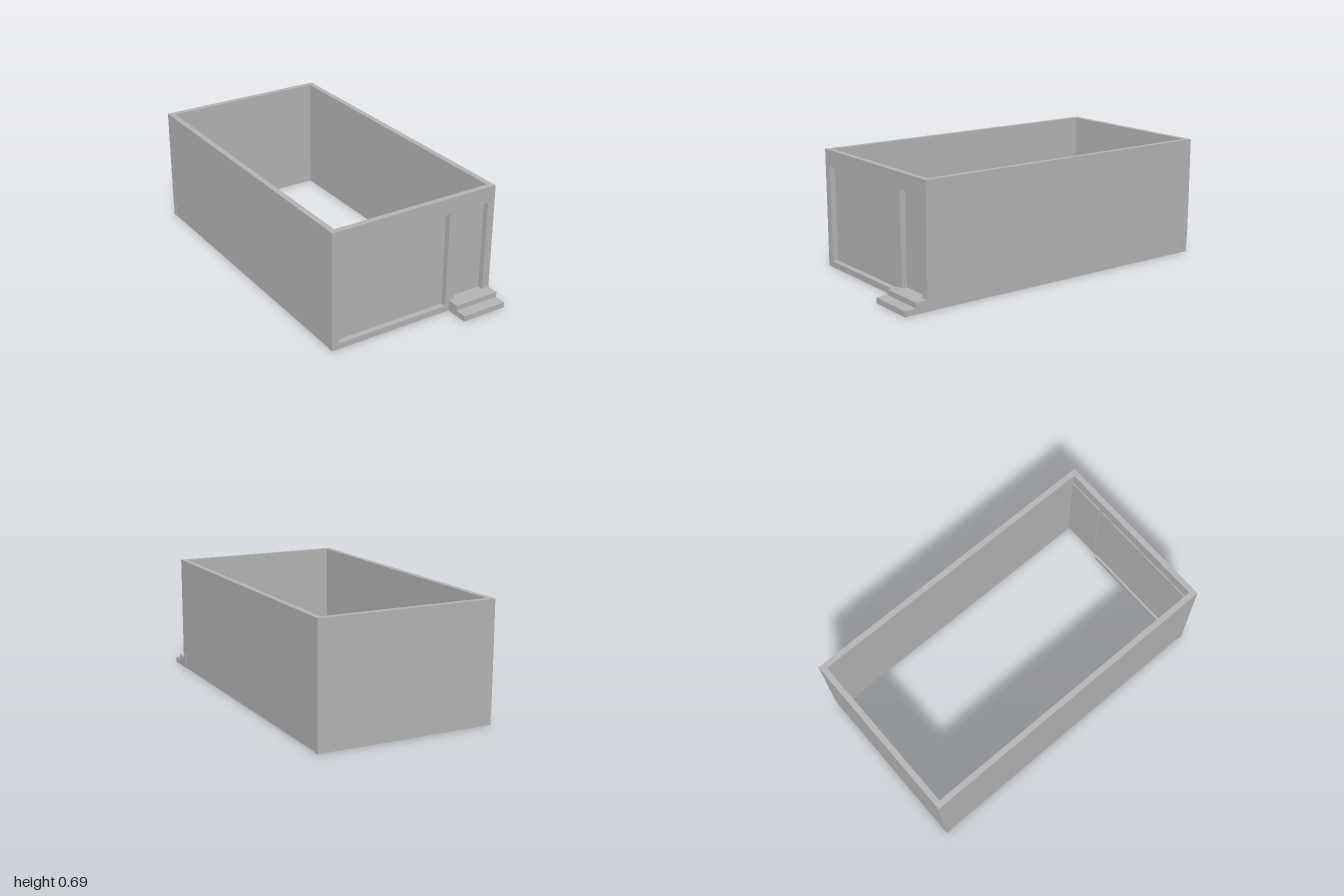
import * as THREE from 'three';

export function createModel() {
  const model = new THREE.Group();
  const grey = new THREE.MeshStandardMaterial({ color: 0xb2b2b2 });
  grey.name = 'plain grey';

  // Box given by its minimum and maximum corners
  function block(name, [x0, y0, z0], [x1, y1, z1]) {
    const mesh = new THREE.Mesh(new THREE.BoxGeometry(x1 - x0, y1 - y0, z1 - z0), grey);
    mesh.position.set((x0 + x1) / 2, (y0 + y1) / 2, (z0 + z1) / 2);
    mesh.name = name;
    model.add(mesh);
  }

  function rectangle(Type, x0, y0, x1, y1) {
    const r = new Type();
    r.moveTo(x0, y0);
    r.lineTo(x1, y0);
    r.lineTo(x1, y1);
    r.lineTo(x0, y1);
    r.closePath();
    return r;
  }

  const W = 0.515, H = 0.685, T = 0.033;
  const back = -1, front = 0.863, inner = front - T;
  const base = 0.09, inset = 0.004;

  // Front wall with the large opening and the door opening
  const face = rectangle(THREE.Shape, -W, 0, W, H);
  face.holes.push(rectangle(THREE.Path, -0.47, 0.035, 0.215, 0.593));
  face.holes.push(rectangle(THREE.Path, 0.27, 0.062, 0.47, 0.593));
  const frontWall = new THREE.Mesh(
    new THREE.ExtrudeGeometry(face, { depth: T, bevelEnabled: false }), grey);
  frontWall.position.z = inner;
  frontWall.name = 'frontWall';
  model.add(frontWall);

  // Side walls on a slightly inset base
  for (const s of [-1, 1]) {
    const side = s < 0 ? 'right' : 'left';
    const span = (a, b) => (s < 0 ? [-b, -a] : [a, b]);
    const [u0, u1] = span(W - T, W);
    block(side + 'Wall', [u0, base, back + T], [u1, H, inner]);
    const [b0, b1] = span(W - T, W - inset);
    block(side + 'Base', [b0, 0, back + T], [b1, base, inner]);
  }

  // Back wall and its base
  block('backWall', [-W, base, back], [W, H, back + T]);
  block('backBase', [-W, 0, back + inset], [W, base, back + T]);

  // Thin panels closing the openings from inside, and the sill below
  block('garagePanel', [-0.48, 0.03, inner - 0.006], [0.222, 0.6, inner]);
  block('doorPanel', [0.25, 0.03, inner - 0.006], [W - T, 0.6, inner]);
  block('garageSill', [-0.475, 0, 0.81], [0.215, 0.035, inner]);

  // Two entrance steps
  block('lowerStep', [0.24, 0, front], [W, 0.032, 1]);
  block('upperStep', [0.24, 0.032, front], [W, 0.063, 0.932]);

  return model;
}
